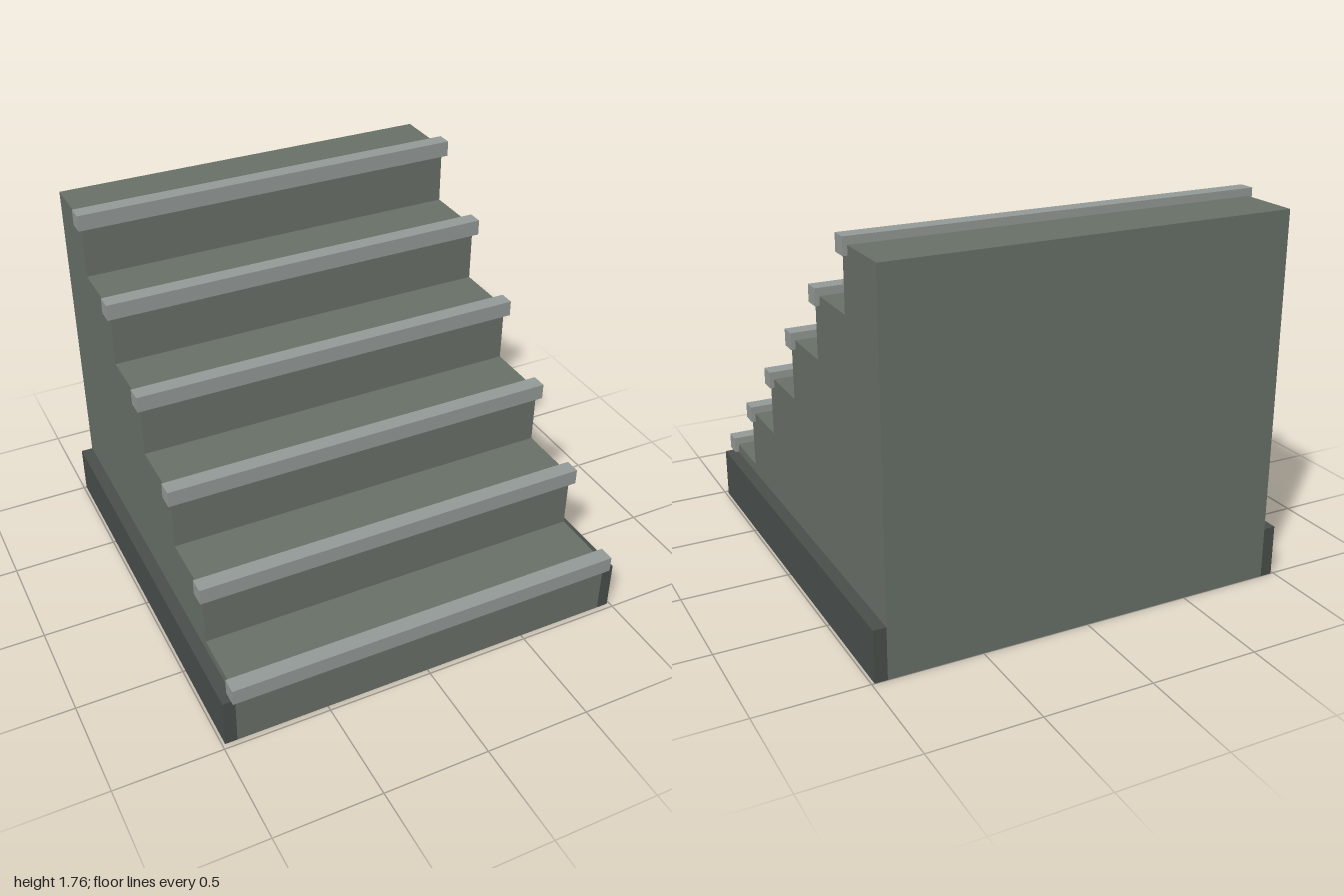
import * as THREE from 'three';

const STEPS = 6, RISE = 0.2867, RUN = 0.329, FRONT = 0.975, BACK = -1;

export function createModel() {
  const model = new THREE.Group();
  model.name = 'staircase';
  const stone = new THREE.MeshStandardMaterial({ color: 0x6a7169 });
  const dark = new THREE.MeshStandardMaterial({ color: 0x4a504d });
  const light = new THREE.MeshStandardMaterial({ color: 0x959b98 });

  const add = (name, geometry, material, x, y, z) => {
    const mesh = new THREE.Mesh(geometry, material);
    mesh.name = name;
    mesh.position.set(x, y, z);
    model.add(mesh);
    return mesh;
  };

  // Solid flight: stepped side profile (drawn in z, y) extruded across the width
  const profile = new THREE.Shape();
  profile.moveTo(BACK, 0);
  profile.lineTo(FRONT, 0);
  for (let i = 0; i < STEPS; i++) {
    const z = FRONT - i * RUN, y = (i + 1) * RISE;
    profile.lineTo(z, y);
    profile.lineTo(i < STEPS - 1 ? z - RUN : BACK, y);
  }
  profile.closePath();
  const width = 1.86;
  const flight = new THREE.ExtrudeGeometry(profile, { depth: width, bevelEnabled: false });
  flight.translate(0, 0, -width / 2).rotateY(-Math.PI / 2);
  add('stepFlight', flight, stone, 0, 0, 0);

  // Square nosing bar on the front edge of every step
  const nosing = new THREE.BoxGeometry(1.9, 0.076, 0.075);
  for (let i = 0; i < STEPS; i++) {
    add(`nosing${i + 1}`, nosing, light, 0, (i + 1) * RISE - 0.003, FRONT - i * RUN - 0.0125);
  }

  // Low skirting along both sides
  const skirt = new THREE.BoxGeometry(0.057, 0.24, FRONT - BACK);
  for (const side of [-1, 1]) {
    add(side > 0 ? 'leftSkirt' : 'rightSkirt', skirt, dark, side * 0.9585, 0.12, (FRONT + BACK) / 2);
  }
  return model;
}
